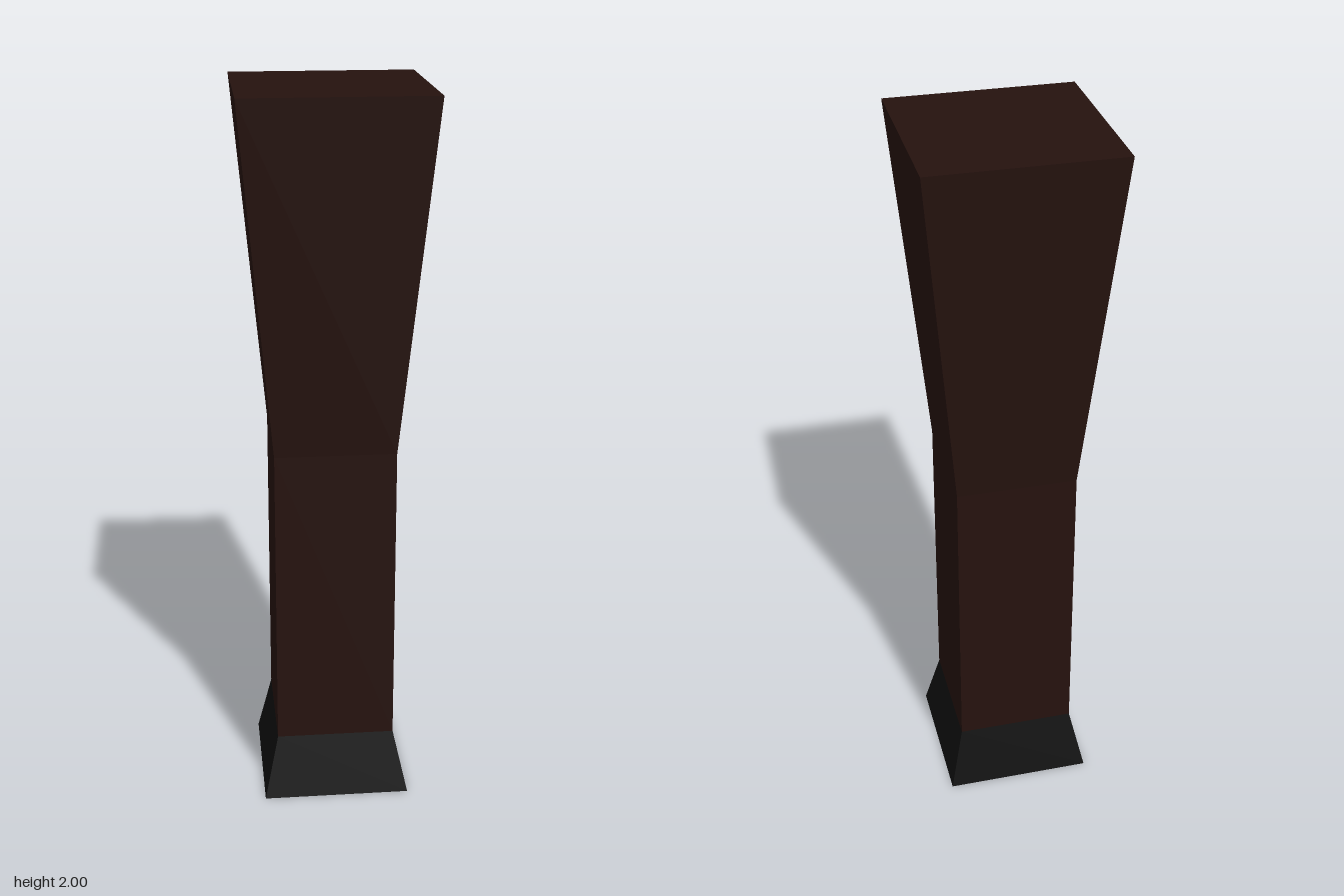
import * as THREE from 'three';

// Square shell lofted through [halfWidth, y] sections, bottom to top
function squareShell(name, sections, color) {
  const points = sections.map(([half, y]) => new THREE.Vector2(half * Math.SQRT2, y));
  const geometry = new THREE.LatheGeometry(points, 4, Math.PI / 4);
  const material = new THREE.MeshStandardMaterial({ color, flatShading: true, side: THREE.DoubleSide });
  const mesh = new THREE.Mesh(geometry, material);
  mesh.name = name;
  return mesh;
}

export function createModel() {
  const group = new THREE.Group();
  group.name = 'furnitureLeg';

  // Straight shaft flaring to a closed square top
  group.add(squareShell('leg', [[0.166, 0.18], [0.166, 1.04], [0.254, 2], [0, 2]], 0x25120e));

  // Flared foot, open underneath
  group.add(squareShell('foot', [[0.206, 0], [0.166, 0.18]], 0x0f0f0f));

  return group;
}
